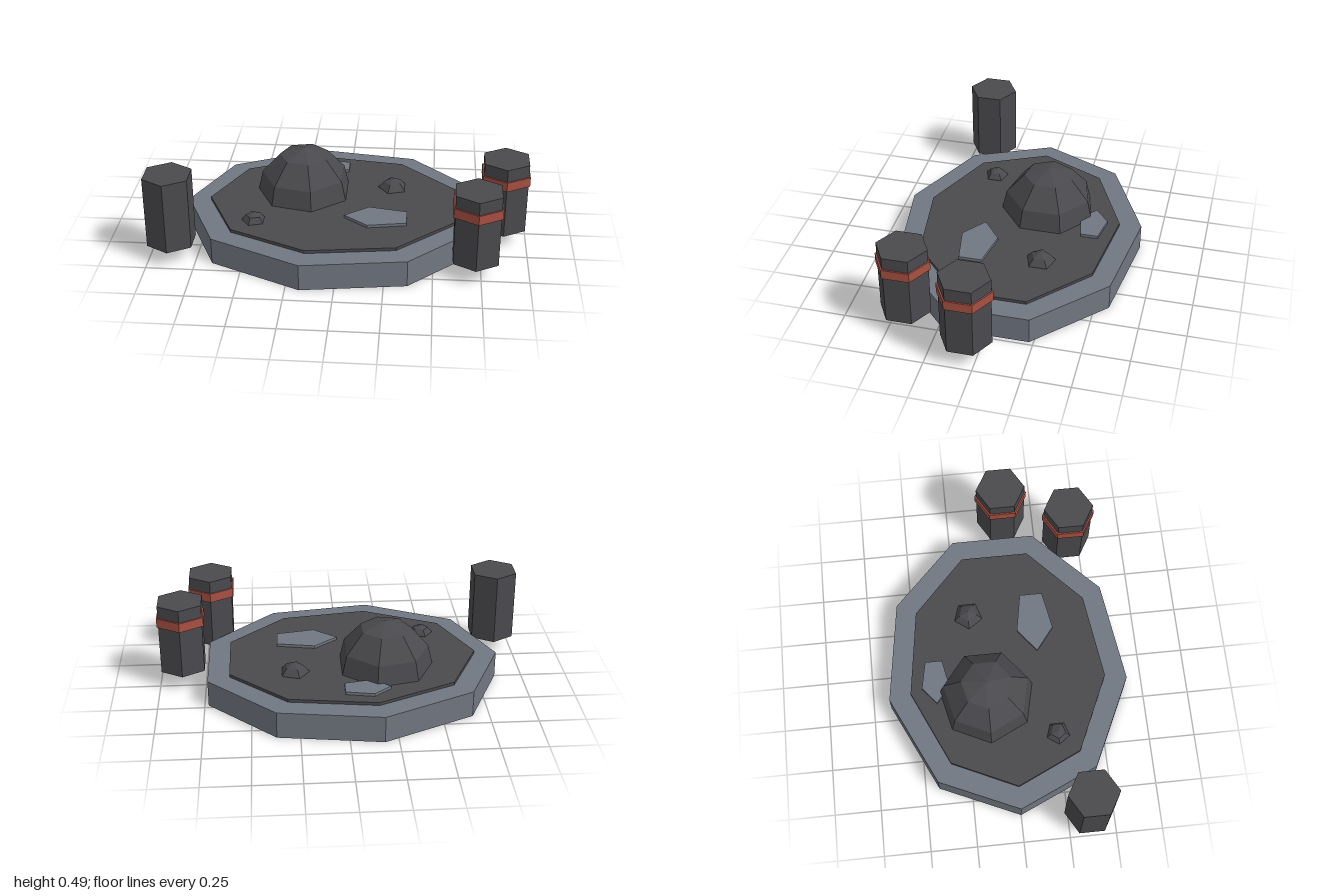
import * as THREE from 'three';

const mat = (name, color) => {
  const m = new THREE.MeshStandardMaterial({ color, flatShading: true });
  m.name = name;
  return m;
};

export function createModel() {
  const slate = mat('slate blue', 0x717781);
  const basalt = mat('dark basalt', 0x4a494d);
  const red = mat('rust red', 0xa85042);
  const model = new THREE.Group();

  const add = (parent, name, geometry, material, x, y, z) => {
    const mesh = new THREE.Mesh(geometry, material);
    mesh.name = name;
    mesh.position.set(x, y, z);
    parent.add(mesh);
    return mesh;
  };

  // Upright prism on an oval polygon with one corner pointing to -x
  const prism = (name, material, sides, x, z, rx, rz, y0, y1) => {
    const g = new THREE.CylinderGeometry(1, 1, y1 - y0, sides, 1, false, -Math.PI / 2);
    g.scale(rx, 1, rz);
    return add(model, name, g, material, x, (y0 + y1) / 2, z);
  };

  // Faceted mound from [radius, height] pairs, listed from the bottom up
  const mound = (name, sides, x, z, profile) => {
    const points = profile.map(([r, y]) => new THREE.Vector2(r, y));
    const g = new THREE.LatheGeometry(points, sides, -Math.PI / 2);
    add(model, name, g, basalt, x, 0, z);
  };

  // Stone base with a dark floor and two pale slabs
  prism('base', slate, 9, -0.036, 0, 0.815, 0.664, 0, 0.146);
  prism('floor', basalt, 9, -0.037, 0, 0.693, 0.543, 0.1, 0.163);
  prism('frontSlab', slate, 5, 0.205, 0.18, 0.185, 0.105, 0.15, 0.179);
  prism('backSlab', slate, 5, -0.097, -0.395, 0.133, 0.079, 0.15, 0.179);

  // Boulder and two pebbles
  mound('boulder', 7, -0.22, -0.122,
    [[0.271, 0.115], [0.235, 0.27], [0.1355, 0.383], [0, 0.424]]);
  mound('rightPebble', 5, 0.268, -0.182,
    [[0.084, 0.15], [0.08, 0.167], [0.05, 0.201], [0, 0.224]]);
  mound('leftPebble', 5, -0.459, 0.24,
    [[0.067, 0.15], [0.064, 0.167], [0.042, 0.195], [0, 0.209]]);

  // Hexagonal pillars, two of them banded
  const pillars = [[-0.883, 0.362, false], [0.872, 0.061, true], [0.718, 0.423, true]];
  for (const [x, z, banded] of pillars) {
    const pillar = new THREE.Group();
    pillar.name = 'pillar';
    pillar.position.set(x, 0, z);
    model.add(pillar);
    add(pillar, 'pillarShaft', new THREE.CylinderGeometry(0.135, 0.135, 0.395, 6), basalt, 0, 0.289, 0);
    if (banded) {
      add(pillar, 'pillarBand', new THREE.CylinderGeometry(0.144, 0.144, 0.052, 6), red, 0, 0.392, 0);
    }
  }
  return model;
}
